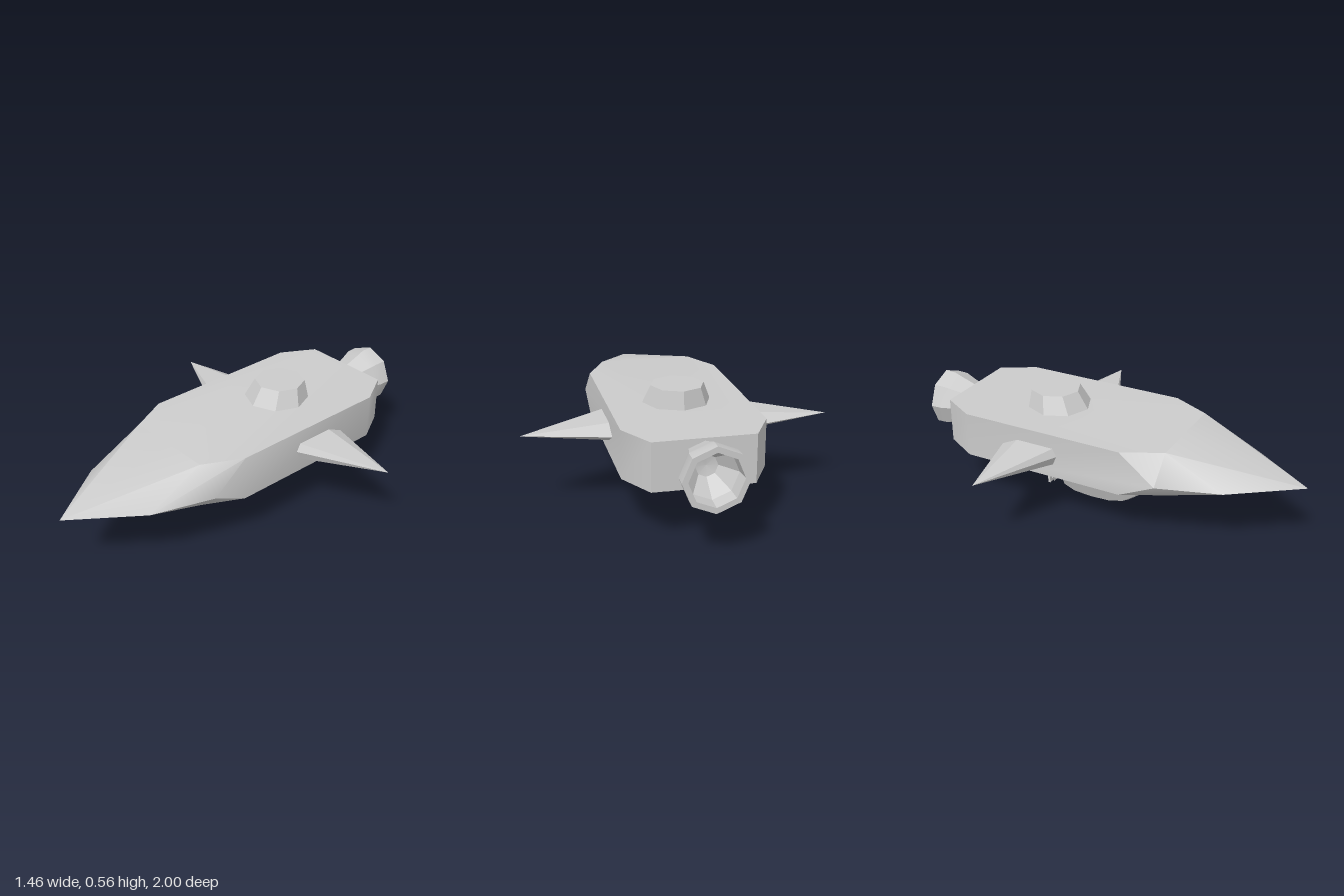
import * as THREE from 'three';
import { toCreasedNormals } from 'three/addons/utils/BufferGeometryUtils.js';

const material = new THREE.MeshStandardMaterial({ color: 0xcccccc, side: THREE.DoubleSide });

// Collects polygons (counter-clockwise from outside) as fans of triangles.
function polygons(faces, crease) {
  const pos = [];
  for (const f of faces)
    for (let i = 1; i < f.length - 1; i++) pos.push(...f[0], ...f[i], ...f[i + 1]);
  const g = new THREE.BufferGeometry();
  g.setAttribute('position', new THREE.Float32BufferAttribute(pos, 3));
  return toCreasedNormals(g, crease);
}

const mirrorX = (face) => face.map(([x, y, z]) => [-x, y, z]).reverse();

function hullGeometry() {
  const T = 0.48, M = 0.34, B = 0.255, N = [0, M, 1];
  // One half (+x): deck outline, walls, bow chamfers, nose
  const half = [
    [[0, T, -0.81], [0, T, 0.39], [0.23, T, 0.39], [0.325, T, 0.2], [0.325, T, -0.64], [0.23, T, -0.81]],
    [[0, T, -0.81], [0.23, T, -0.81], [0.23, B, -0.81], [0, B, -0.81]],
    [[0.23, T, -0.81], [0.325, T, -0.64], [0.325, B, -0.64], [0.23, B, -0.81]],
    [[0.325, T, -0.64], [0.325, T, 0.2], [0.325, M, 0.38], [0.325, B, 0.2], [0.325, B, -0.64]],
    [[0.325, T, 0.2], [0.23, T, 0.39], [0.23, M, 0.68], [0.325, M, 0.38]],
    [[0.325, M, 0.38], [0.23, M, 0.68], [0.23, B, 0.39], [0.325, B, 0.2]],
    [[0, T, 0.39], N, [0.23, T, 0.39]],
    [[0.23, T, 0.39], N, [0.23, M, 0.68]],
    [[0, B, 0.39], [0.23, B, 0.39], N],
    [[0.23, B, 0.39], [0.23, M, 0.68], N],
  ];
  // Shallow rounded belly: stations of z, half width, depth
  const rows = [[-0.81, 0.23, 0], [-0.64, 0.325, 0.025], [-0.47, 0.325, 0.049], [-0.2, 0.325, 0.065],
    [0, 0.325, 0.049], [0.2, 0.325, 0.022], [0.39, 0.23, 0]];
  const section = ([z, w, d]) =>
    [[0, 1], [0.1, 0.8], [0.17, 0.4], [0.23, 0], [w, 0]].map(([x, k]) => [x, B - d * k, z]);
  for (let i = 0; i < rows.length - 1; i++) {
    const a = section(rows[i]), b = section(rows[i + 1]);
    for (let j = 0; j < 4; j++) half.push([a[j], a[j + 1], b[j + 1], b[j]]);
  }
  return polygons([...half, ...half.map(mirrorX)], 0.63);
}

// Six-sided spike running from the hull wall to a tip
function finFaces() {
  const tip = [0.73, 0.37, -0.33];
  const root = [[-0.13, 0.37], [-0.15, 0.41], [-0.35, 0.41], [-0.435, 0.37], [-0.35, 0.325], [-0.15, 0.325]]
    .map(([z, y]) => [0.32, y, z]);
  return root.map((p, i) => [p, tip, root[(i + 1) % 6]]);
}

// Lathe laid along z; profile points are [radius, z]
function latheZ(profile, sides, crease) {
  const pts = profile.map(([r, z]) => new THREE.Vector2(r, z));
  const g = new THREE.LatheGeometry(pts, sides);
  g.rotateX(Math.PI / 2);
  return toCreasedNormals(g.toNonIndexed(), crease);
}

export function createModel() {
  const model = new THREE.Group();
  const add = (name, geometry, x = 0, y = 0, z = 0, parent = model) => {
    const mesh = new THREE.Mesh(geometry, material);
    mesh.name = name;
    mesh.position.set(x, y, z);
    parent.add(mesh);
    return mesh;
  };

  add('hull', hullGeometry());

  // Side fins
  add('leftFin', polygons(finFaces(), 0.1));
  add('rightFin', polygons(finFaces().map(mirrorX), 0.1));

  // Octagonal turret, its roof set slightly back
  const turret = new THREE.CylinderGeometry(0.125, 0.16, 0.085, 8);
  const p = turret.attributes.position;
  for (let i = 0; i < p.count; i++) if (p.getY(i) > 0) p.setZ(i, p.getZ(i) - 0.02);
  add('turret', toCreasedNormals(turret.toNonIndexed(), 0.2), 0, 0.5225, -0.3);

  // Hollow engine nozzle
  add('engineNozzle', latheZ([[0, -0.83], [0.05, -0.84], [0.115, -0.93], [0.12, -1], [0.147, -1],
    [0.145, -0.94], [0.13, -0.9], [0.1, -0.81]], 8, 0.35), 0, 0.368, 0);

  // Slung pod beneath the belly
  const pod = new THREE.Group();
  pod.name = 'pod';
  pod.position.y = 0.112;
  model.add(pod);
  add('podBody', latheZ([[0, -0.29], [0.045, -0.29], [0.085, -0.25], [0.105, -0.18], [0.11, -0.08],
    [0.107, 0.02], [0.09, 0.09], [0.05, 0.145], [0, 0.158]], 8, 0.6), 0, 0, 0, pod);

  // Tail: stem, flared neck and a four-pane frame
  add('tailStem', new THREE.BoxGeometry(0.05, 0.05, 0.04), 0, -0.007, -0.3, pod);
  const flare = new THREE.CylinderGeometry(0.03, 0.08, 0.018, 4);
  flare.rotateY(Math.PI / 4).rotateX(-Math.PI / 2);
  flare.scale(1, 1, -1);
  flare.scale(1, 1, -1);
  const neck = toCreasedNormals(flare.toNonIndexed(), 0.2);
  neck.rotateY(Math.PI);
  add('tailNeck', neck, 0, -0.007, -0.325, pod).rotation.y = Math.PI;
  const s = 0.065, frame = new THREE.Shape([[-s, -s], [s, -s], [s, s], [-s, s]].map((c) => new THREE.Vector2(...c)));
  for (const x of [-0.029, 0.029])
    for (const y of [-0.029, 0.029])
      frame.holes.push(new THREE.Path([[-1, -1], [-1, 1], [1, 1], [1, -1]]
        .map(([a, b]) => new THREE.Vector2(x + a * 0.019, y + b * 0.019))));
  add('tailFrame', new THREE.ExtrudeGeometry(frame, { depth: 0.012, bevelEnabled: false }), 0, -0.007, -0.346, pod);

  return model;
}
